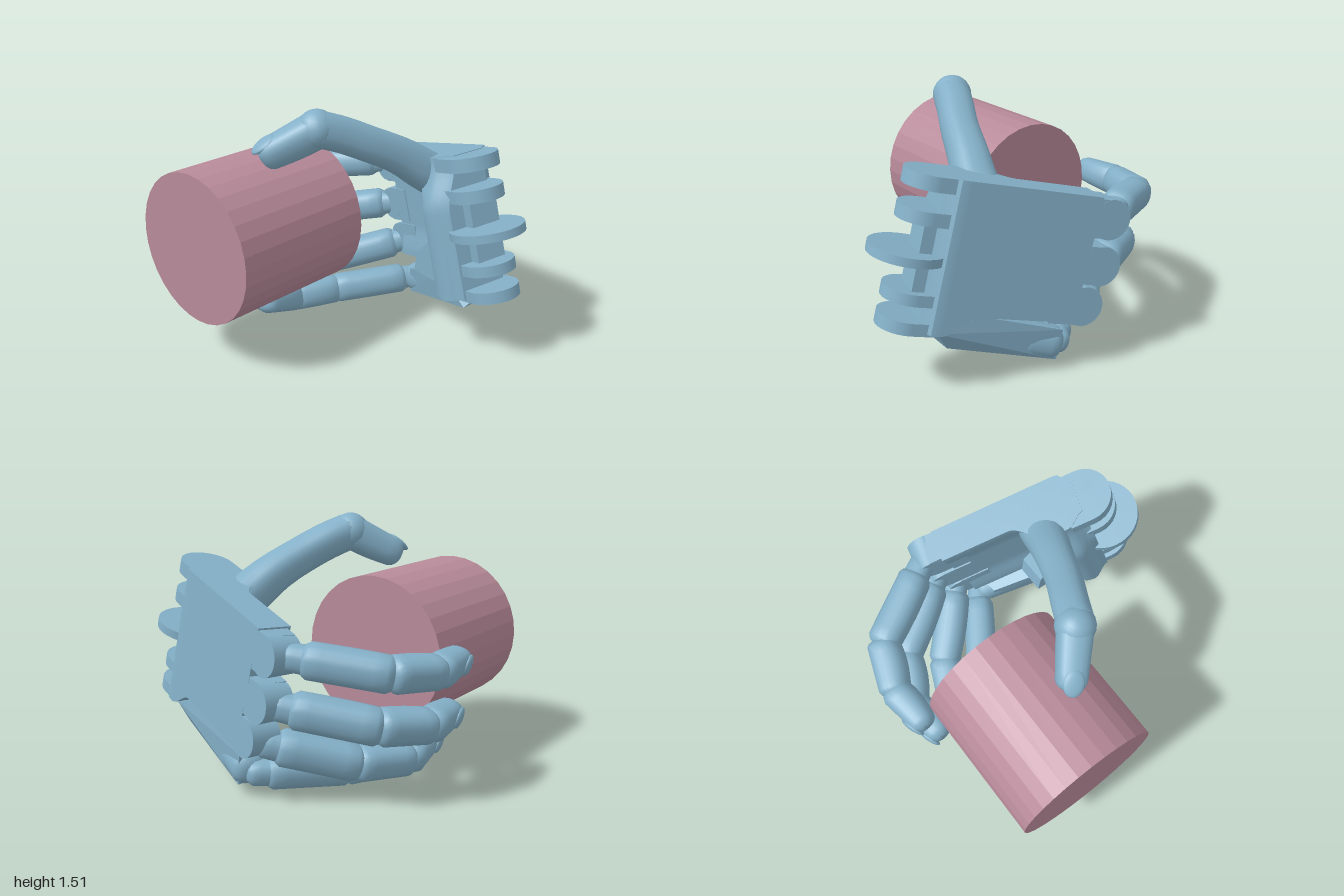
import * as THREE from 'three';
import { toCreasedNormals } from 'three/addons/utils/BufferGeometryUtils.js';
import { ConvexGeometry } from 'three/addons/geometries/ConvexGeometry.js';

const V = (x, y, z) => new THREE.Vector3(x, y, z);
const blue = new THREE.MeshStandardMaterial({ color: 0x84b0c8 });
const pink = new THREE.MeshStandardMaterial({ color: 0xb88a9a, flatShading: true });
const smooth = THREE.MathUtils.smoothstep;

// Hand frame: X to the wrist, Y to the thumb side, Z out of the palm, back of hand at Z = 0
const HX = V(0.923, 0.246, 0.296).normalize();
const HY = V(-0.257, 0.966, 0).normalize();
const HZ = HX.clone().cross(HY).normalize();

function add(parent, name, geometry, material = blue) {
  const mesh = new THREE.Mesh(geometry, material);
  mesh.name = name;
  parent.add(mesh);
  return mesh;
}

// Skin over rings { p, w, d, pad }: w across the side axis, d on the back, pad on the underside
function loft(rings, sideRef, sides = 20) {
  const pos = [], idx = [], n = rings.length;
  rings.forEach((r, i) => {
    const t = rings[Math.min(i + 1, n - 1)].p.clone().sub(rings[Math.max(i - 1, 0)].p).normalize();
    const s = sideRef.clone().addScaledVector(t, -sideRef.dot(t)).normalize();
    const b = t.clone().cross(s);
    for (let j = 0; j < sides; j++) {
      const a = j / sides * Math.PI * 2, c = Math.cos(a), q = Math.sin(a);
      const boxy = Math.pow(c ** 4 + q ** 4, -0.12);
      const p = r.p.clone().addScaledVector(s, c * boxy * r.w)
        .addScaledVector(b, q * boxy * (q > 0 ? r.d : r.pad ?? r.d));
      pos.push(p.x, p.y, p.z);
    }
  });
  for (let i = 0; i < n - 1; i++) for (let j = 0; j < sides; j++) {
    const k = (j + 1) % sides, a = i * sides;
    idx.push(a + j, a + k, a + sides + j, a + k, a + sides + k, a + sides + j);
  }
  for (let j = 1; j < sides - 1; j++) {
    const e = (n - 1) * sides;
    idx.push(0, j + 1, j, e, e + j, e + j + 1);
  }
  const g = new THREE.BufferGeometry();
  g.setAttribute('position', new THREE.Float32BufferAttribute(pos, 3));
  g.setIndex(idx);
  return toCreasedNormals(g, 0.7);
}

// Segment from a to b with domed ends and a padded underside
function segment(a, b, r0, r1, side, bulge = 0, dome = 0.6) {
  const dir = b.clone().sub(a), len = dir.length();
  dir.normalize();
  const rings = [];
  const ring = (t, k, r, pad = 0) => rings.push({
    p: a.clone().addScaledVector(dir, t), w: k * r, d: k * r, pad: k * r * (1 + pad) });
  [[1, 0.35], [0.85, 0.6], [0.5, 0.86], [0, 1]].forEach(([e, k]) => ring(-e * dome * r0, k, r0));
  for (let i = 1; i < 6; i++) ring(len * i / 6, 1, r0 + (r1 - r0) * i / 6, bulge * Math.sin(Math.PI * i / 6));
  [[0, 1], [0.5, 0.86], [0.85, 0.6], [1, 0.35]].forEach(([e, k]) => ring(len + e * dome * r1, k, r1));
  return loft(rings, side);
}

// Flat oval nail on the back of the last segment, dipping with the fingertip
function nail(parent, a, b, r, side) {
  const t = b.clone().sub(a).normalize();
  const s = side.clone().addScaledVector(t, -side.dot(t)).normalize();
  const back = t.clone().cross(s);
  const m = add(parent, 'nail', new THREE.SphereGeometry(1, 16, 10));
  m.quaternion.setFromRotationMatrix(new THREE.Matrix4().makeBasis(s, back, s.clone().cross(back)));
  m.rotateX(0.2);
  m.scale.set(r * 0.66, r * 0.24, r * 0.9);
  m.position.copy(b).addScaledVector(back, r * 0.76);
}

function finger(parent, name, pts, r) {
  const g = new THREE.Group();
  g.name = name;
  parent.add(g);
  const [k, p, d, tip] = pts;
  const at = (a, b, t) => a.clone().lerp(b, t);
  add(g, 'hingeTongue', segment(k, at(k, p, 0.4), r * 0.75, r * 0.85, HY));
  add(g, 'proximalSegment', segment(at(k, p, 0.2), at(k, p, 0.97), r, r, HY, 0.1, 0.5));
  add(g, 'middleSegment', segment(at(p, d, 0.06), at(p, d, 0.95), r, r * 0.96, HY, 0.15, 0.5));
  add(g, 'tipSegment', segment(at(d, tip, 0.08), at(d, tip, 0.85), r * 0.97, r * 0.8, HY, 0.12, 0.65));
  nail(g, d, at(d, tip, 0.8), r * 0.92, HY);
}

function buildPalm(root) {
  const hand = new THREE.Group();
  hand.name = 'palm';
  hand.applyMatrix4(new THREE.Matrix4().makeBasis(HX, HY, HZ).setPosition(0.3, 0.78, -0.7));
  root.add(hand);

  // Palm plate: flat back, hollow inside, thick heel at the wrist
  const g = new THREE.BoxGeometry(1, 1, 1, 30, 26, 4);
  const p = g.attributes.position;
  for (let i = 0; i < p.count; i++) {
    const x = -0.42 + (p.getX(i) + 0.5) * 0.88;
    const low = -0.36 - 0.12 * smooth(x, 0.15, 0.35);
    const y = low + (p.getY(i) + 0.5) * (0.37 - low);
    const heel = smooth(x + 0.25 * Math.max(0, y - 0.1), 0.08, 0.29);
    const h = 0.17 + 0.26 * heel - 0.09 * heel * smooth(y, 0.05, 0.36) - 0.07 * smooth(x, 0.34, 0.46)
      + 0.03 * smooth(Math.abs(y), 0.15, 0.35) * (1 - heel);
    // Rounded back edge at the wrist
    const back = 0.07 * smooth(x, 0.39, 0.46);
    p.setXYZ(i, x, y, back + (p.getZ(i) + 0.5) * (h - back));
  }
  add(hand, 'palmPlate', toCreasedNormals(g, 0.6));

  // Rounded knuckle lobes with slots between them
  for (const [x, y] of [[-0.5, 0.25], [-0.51, -0.02], [-0.46, -0.26]]) {
    const lobe = add(hand, 'knuckleLobe', new THREE.CylinderGeometry(0.105, 0.115, 0.18, 28));
    lobe.rotation.x = Math.PI / 2;
    lobe.position.set(x, y, 0.09);
    add(hand, 'knuckleRoot', new THREE.BoxGeometry(0.2, 0.22, 0.178)).position.set(x + 0.1, y, 0.09);
  }

  // Wrist hinge tabs
  for (const [y, t] of [[0.325, 0.08], [0.14, 0.075], [-0.3, 0.065], [-0.46, 0.07]]) {
    add(hand, 'wristTab', new THREE.CylinderGeometry(0.16, 0.16, t, 28)).position.set(0.5, y, 0.185);
    add(hand, 'wristTabRoot', new THREE.BoxGeometry(0.14, t, 0.32)).position.set(0.43, y, 0.185);
  }
  add(hand, 'wristDisc', new THREE.CylinderGeometry(0.22, 0.22, 0.05, 36)).position.set(0.555, -0.08, 0.19);
  add(hand, 'wristBlock', new THREE.BoxGeometry(0.1, 0.42, 0.19)).position.set(0.48, -0.1, 0.17);
}

export function createModel() {
  const root = new THREE.Group();
  root.name = 'handHoldingCylinder';

  // Held cylinder
  const can = add(root, 'heldCylinder', new THREE.CylinderGeometry(0.452, 0.452, 0.91, 32), pink);
  can.rotation.x = Math.PI / 2;
  can.position.set(-0.345, 0.76, 0.435);

  buildPalm(root);

  // Folding little-finger side of the palm
  const edge = [V(0.74, 0.4, -0.56), V(0.65, 0.27, -0.35), V(0.42, 0.42, -0.4), V(0.04, 0.08, -0.6),
    V(0.06, 0.08, -0.75), V(0.05, 0.26, -0.57), V(0.03, 0.27, -0.77), V(0.5, 0.45, -0.62), V(0.66, 0.27, -0.53)];
  add(root, 'outerPalm', new ConvexGeometry(edge));
  const flap = [];
  for (const [x, y] of [[0.26, 0.4], [0.28, 0.52], [0.36, 0.62], [0.44, 0.57], [0.43, 0.42], [0.5, 0.36]])
    flap.push(V(x, y, -0.35), V(x, y, -0.6));
  add(root, 'outerPalmFlap', new ConvexGeometry(flap));
  add(root, 'littleKnuckleLobe', segment(V(0.2, 0.21, -0.62), V(0.04, 0.165, -0.68), 0.09, 0.098, HY));

  // Fingers: knuckle, two joints, tip
  finger(root, 'indexFinger', [V(-0.32, 0.89, -0.75), V(-0.79, 0.82, -0.5), V(-0.9, 0.79, -0.22), V(-0.875, 0.8, 0.07)], 0.097);
  finger(root, 'middleFinger', [V(-0.24, 0.61, -0.76), V(-0.7, 0.51, -0.47), V(-0.84, 0.47, -0.19), V(-0.82, 0.48, 0.09)], 0.1);
  finger(root, 'ringFinger', [V(-0.13, 0.37, -0.74), V(-0.5, 0.23, -0.38), V(-0.64, 0.2, -0.08), V(-0.61, 0.25, 0.25)], 0.1);
  finger(root, 'littleFinger', [V(0, 0.15, -0.69), V(-0.32, 0.11, -0.24), V(-0.44, 0.105, 0.03), V(-0.38, 0.21, 0.36)], 0.094);

  // Thumb: a bent lower part and a tip with a nail
  const thumb = new THREE.Group();
  thumb.name = 'thumb';
  root.add(thumb);
  const curve = new THREE.CatmullRomCurve3([V(0.36, 1.0, -0.47), V(0.32, 1.08, -0.34), V(0.255, 1.19, -0.19),
    V(0.175, 1.29, 0), V(0.1, 1.36, 0.14), V(0.04, 1.405, 0.26)]);
  const rings = [];
  for (let i = 0; i <= 14; i++) {
    const t = i / 14, r = 0.13 - 0.025 * smooth(t, 0, 0.6);
    rings.push({ p: curve.getPoint(t), w: r, d: r });
  }
  add(thumb, 'thumbLowerSegment', loft(rings, V(1, 0.2, 0.4)));
  const side = V(0.64, -0.165, 0.52), a = V(0.03, 1.405, 0.27), b = V(-0.15, 1.27, 0.47);
  add(thumb, 'thumbJoint', new THREE.SphereGeometry(0.115, 20, 14)).position.copy(a);
  add(thumb, 'thumbTipSegment', segment(a, b, 0.103, 0.088, side, 0.08, 0.6));
  nail(thumb, a, b, 0.092, side);

  return root;
}
